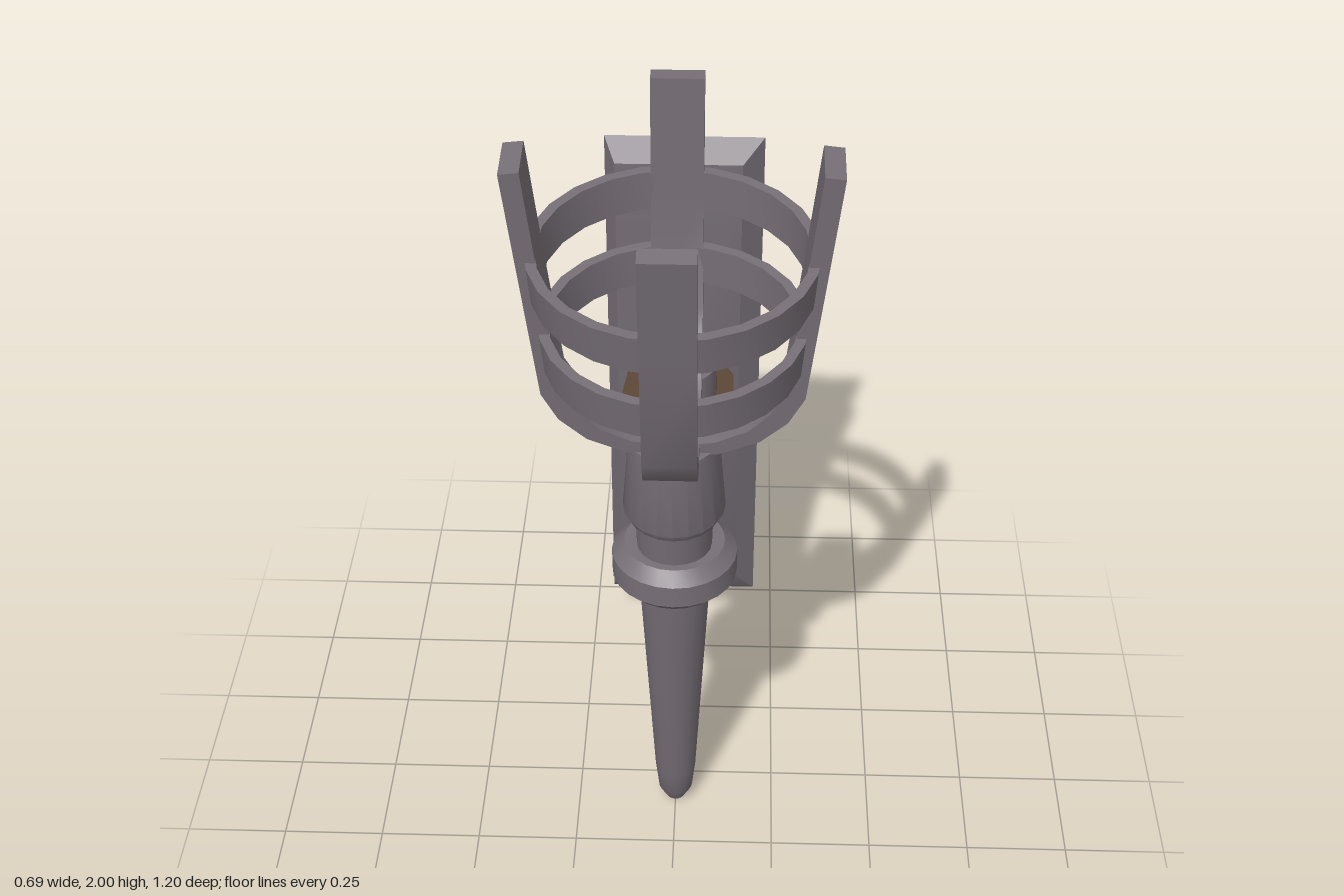
import * as THREE from 'three';
import { toCreasedNormals } from 'three/addons/utils/BufferGeometryUtils.js';

const V = (pts) => pts.map(([x, y]) => new THREE.Vector2(x, y));

export function createModel() {
  const iron = new THREE.MeshStandardMaterial({ color: 0x766f76, side: THREE.DoubleSide });
  iron.name = 'iron grey';
  const rust = new THREE.MeshStandardMaterial({ color: 0x69513f, side: THREE.DoubleSide });
  rust.name = 'rust brown';

  const root = new THREE.Group();
  root.name = 'wallTorch';

  const add = (parent, name, geo, mat = iron, pos = [0, 0, 0]) => {
    const mesh = new THREE.Mesh(toCreasedNormals(geo, 0.6), mat);
    mesh.name = name;
    mesh.position.set(...pos);
    parent.add(mesh);
    return mesh;
  };
  const lathe = (pts, sides = 20) => new THREE.LatheGeometry(V(pts), sides);
  const extrude = (shape, depth) =>
    new THREE.ExtrudeGeometry(shape, { depth, bevelEnabled: false, curveSegments: 14 });

  // Leaning torch: handle, socket and basket share one tilted axis
  const torch = new THREE.Group();
  torch.name = 'torch';
  torch.position.z = 0.083;
  torch.rotation.x = THREE.MathUtils.degToRad(5);
  root.add(torch);

  add(torch, 'handle', lathe([[0, 0.002], [0.024, 0.01], [0.043, 0.05], [0.051, 0.13], [0.085, 0.82], [0.091, 1.04]]));
  add(torch, 'socket', lathe([[0.085, 1.02], [0.108, 1.025], [0.118, 1.045], [0.102, 1.25], [0, 1.25]]));

  // Basket straps: two crossed U-shaped bands
  const outer = [[0, 1.24], [0.1, 1.247], [0.19, 1.285], [0.25, 1.34], [0.286, 1.41], [0.317, 1.7], [0.346, 1.975]];
  const inner = [[0.303, 1.98], [0.274, 1.7], [0.243, 1.42], [0.212, 1.365], [0.165, 1.315], [0.09, 1.28], [0, 1.27]];
  const half = [...outer, ...inner];
  const mirrored = half.slice(1, -1).reverse().map(([x, y]) => [-x, y]);
  const strapShape = new THREE.Shape(V([...half, ...mirrored]));
  ['sideStraps', 'frontBackStraps'].forEach((name, i) => {
    const geo = extrude(strapShape, 0.116);
    geo.translate(0, 0, -0.058);
    geo.rotateY(i * Math.PI / 2);
    add(torch, name, geo);
  });

  // Basket hoops
  [['lowerHoop', 1.53, 0.285], ['upperHoop', 1.715, 0.305]].forEach(([name, y, r]) => {
    const a = y - 0.045, b = y + 0.045;
    add(torch, name, lathe([[r - 0.026, a], [r - 0.003, a], [r + 0.004, b], [r - 0.019, b], [r - 0.026, a]], 24));
  });

  // Level collar holding the handle
  add(root, 'collar', lathe([[0.08, 0.802], [0.118, 0.802], [0.147, 0.832], [0.147, 0.888],
    [0.118, 0.918], [0.08, 0.918], [0.08, 0.802]], 24), iron, [0, 0, 0.152]);

  // Arm from collar to wall mount
  const armGeo = new THREE.CylinderGeometry(0.042, 0.042, 0.45, 16);
  armGeo.rotateX(Math.PI / 2);
  add(root, 'arm', armGeo, iron, [0, 0.86, -0.19]);

  // Wall mount: round-fronted block, rusted toward the wall
  const roundFront = (r, backZ, centreZ) => {
    const s = new THREE.Shape();
    s.moveTo(-r, -backZ);
    s.lineTo(-r, -centreZ);
    s.absarc(0, -centreZ, r, Math.PI, Math.PI * 2, false);
    s.lineTo(r, -backZ);
    s.closePath();
    return s;
  };
  const upright = (shape, depth) => extrude(shape, depth).rotateX(-Math.PI / 2);
  add(root, 'mount', upright(roundFront(0.097, -0.49, -0.475), 0.24), iron, [-0.011, 0.75, 0]);
  add(root, 'mountRustyBack', new THREE.BoxGeometry(0.194, 0.24, 0.07), rust, [-0.011, 0.87, -0.525]);
  [['mountRustTop', 0.988], ['mountRustBottom', 0.747]].forEach(([name, y]) =>
    add(root, name, upright(roundFront(0.0965, -0.55, -0.515), 0.005), rust, [-0.011, y, 0]));
  add(root, 'mountBackPanel', new THREE.BoxGeometry(0.155, 0.2, 0.006), iron, [-0.008, 0.873, -0.56]);

  // Wall plate: open-backed tray with sloping edges
  const rim = [[-0.197, 0.14], [0.197, 0.14], [0.197, 1.57], [-0.197, 1.57]];
  const face = [[-0.17, 0.225], [0.144, 0.225], [0.144, 1.52], [-0.17, 1.52]];
  const plate = new THREE.BufferGeometry();
  const pos = [...rim.map((p) => [...p, -0.6]), ...face.map((p) => [...p, -0.548])].flat();
  const index = [4, 5, 6, 4, 6, 7];
  for (let i = 0; i < 4; i++) {
    const j = (i + 1) % 4;
    index.push(i, j, j + 4, i, j + 4, i + 4);
  }
  plate.setAttribute('position', new THREE.Float32BufferAttribute(pos, 3));
  plate.setIndex(index);
  add(root, 'wallPlate', plate);

  // Ragged rust stain showing on both faces of the plate
  const stain = [];
  for (let i = 0; i < 22; i++) {
    const a = (i / 22) * Math.PI * 2;
    const k = 0.97 + 0.05 * Math.sin(i * 2.3);
    stain.push([-0.014 + 0.15 * k * Math.cos(a), 0.845 + 0.2 * k * Math.sin(a)]);
  }
  add(root, 'rustStain', extrude(new THREE.Shape(V(stain)), 0.006), rust, [0, 0, -0.551]);

  return root;
}
